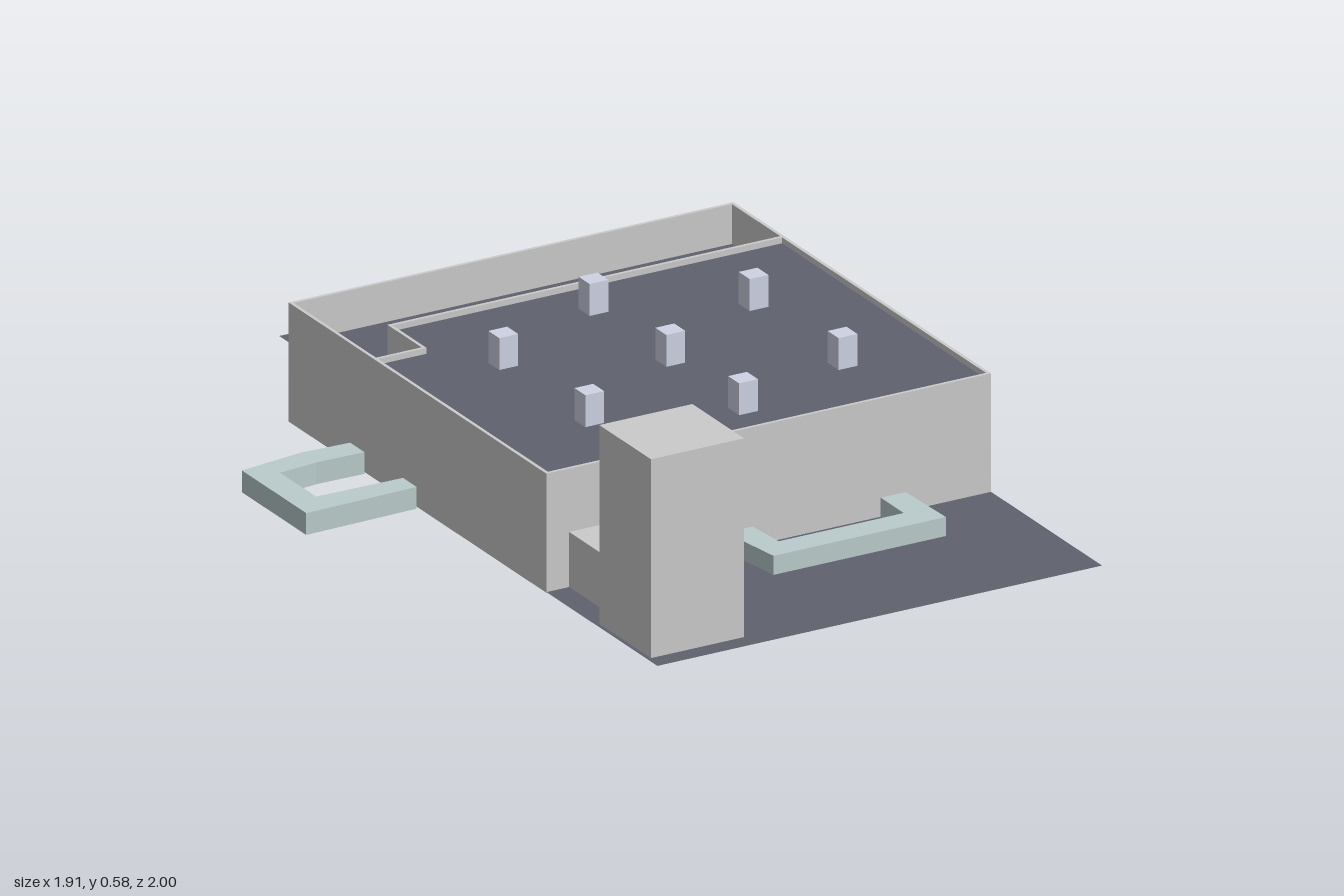
import * as THREE from 'three';

const paint = (color) => new THREE.MeshStandardMaterial({ color, side: THREE.DoubleSide });

export function createModel() {
  const model = new THREE.Group();
  const wall = paint(0xcccccc);
  const dark = paint(0x5f626d);
  const loopMat = paint(0xbbcccc);
  const columnMat = paint(0xced3e5);

  const add = (name, geometry, material) => {
    const mesh = new THREE.Mesh(geometry, material);
    mesh.name = name;
    model.add(mesh);
    return mesh;
  };
  // Box given by its limits on each axis
  const block = (name, x0, x1, y0, y1, z0, z1, material = wall) =>
    add(name, new THREE.BoxGeometry(x1 - x0, y1 - y0, z1 - z0), material)
      .position.set((x0 + x1) / 2, (y0 + y1) / 2, (z0 + z1) / 2);
  // Plan outlines are [x, z] pairs; -z becomes shape y so it lies flat facing up
  const plan = (points) => new THREE.Shape(points.map(([x, z]) => new THREE.Vector2(x, -z)));
  const sheet = (name, points, y) =>
    add(name, new THREE.ShapeGeometry(plan(points)).rotateX(-Math.PI / 2), dark).position.y = y;
  const prism = (name, shape, y0, y1, material) =>
    add(name, new THREE.ExtrudeGeometry(shape, { depth: y1 - y0, bevelEnabled: false })
      .rotateX(-Math.PI / 2), material).position.y = y0;
  const rect = (x0, x1, z0, z1) => [[x0, z0], [x1, z0], [x1, z1], [x0, z1]];

  const L = -0.615, R = 0.755, back = -0.95, front = 0.413;
  const t = 0.01, floor = 0.006, top = 0.35;

  // Ground sheet
  sheet('ground', rect(L, R, back, 1), 0.008);

  // Perimeter wall, open at the top
  const ring = plan(rect(L, R, back, front));
  ring.holes.push(plan(rect(L + t, R - t, back + t, front - t)));
  prism('outerWall', ring, floor, top, wall);

  // Stepped wall between the main hall and the rear terrace
  block('innerWall', -0.465, R - t, floor, top, -0.685, -0.675);
  block('innerWallStep', -0.465, -0.455, floor, top, -0.675, -0.5);
  block('innerWallShort', L + t, -0.455, floor, top, -0.505, -0.495);

  // Main roof and lower terrace, both following the step
  const step = [[L, -0.5], [-0.46, -0.5], [-0.46, -0.68], [R, -0.68]];
  const inset = step.map(([x, z]) => [THREE.MathUtils.clamp(x, L + t, R - t), z]);
  sheet('mainRoof', [...inset, [R - t, front - t], [L + t, front - t]], 0.333);
  sheet('terrace', [...step, [R, -1], [L, -1]], 0.235);

  // Columns rising through the roof
  const columns = [
    [0.08, -0.53], [-0.315, -0.33], [0.465, -0.345], [0.08, -0.125],
    [-0.315, 0.125], [0.465, 0.125], [0.08, 0.26],
  ];
  const h = 0.029;
  columns.forEach(([x, z]) =>
    block('column', x - h, x + h, floor, 0.425, z - h, z + h, columnMat));

  // Tower and the low passage joining it to the hall
  block('tower', -0.603, -0.316, floor, 0.582, 0.672, 0.945);
  block('passage', -0.545, -0.382, floor, 0.167, front, 0.672);

  // Low U-shaped loops standing out from three sides
  const loops = {
    frontLoop: [[-0.063, 0.41], [-0.033, 0.615], [0.498, 0.615], [0.492, 0.41],
      [0.415, 0.41], [0.415, 0.535], [0.03, 0.535], [0.02, 0.41]],
    rightLoop: [[L, -0.625], [-0.76, -0.632], [-0.96, -0.605], [-0.96, -0.265], [L, -0.273],
      [L, -0.345], [-0.88, -0.35], [-0.88, -0.54], [-0.76, -0.553], [L, -0.55]],
    leftLoop: [[R, -0.48], [0.955, -0.487], [0.955, -0.145], [R, -0.12],
      [R, -0.2], [0.875, -0.212], [0.875, -0.405], [R, -0.405]],
  };
  for (const [name, points] of Object.entries(loops)) prism(name, plan(points), 0, 0.063, loopMat);

  return model;
}
